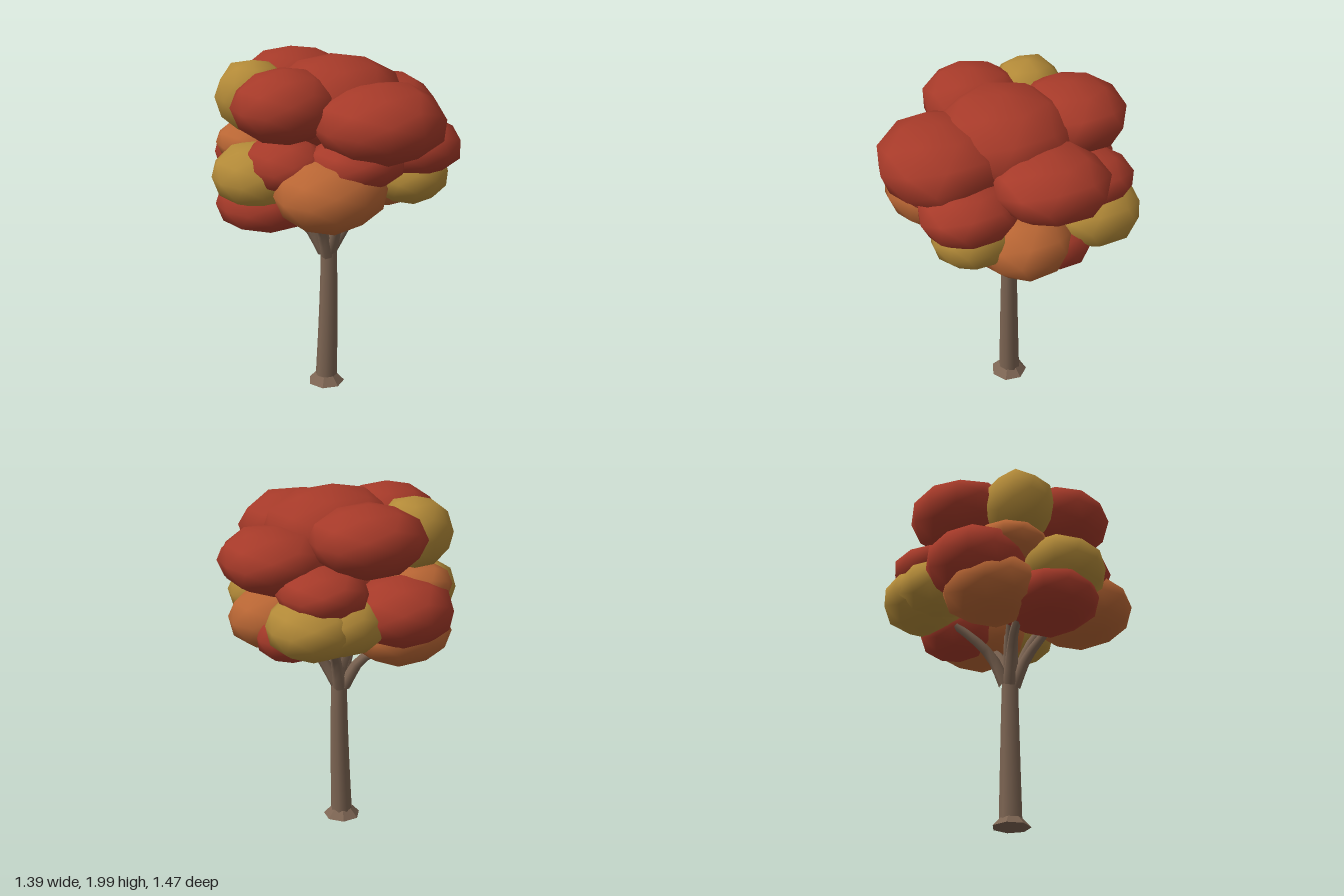
import * as THREE from 'three';
import { mergeVertices } from 'three/addons/utils/BufferGeometryUtils.js';

const mat = (name, color) => {
  const m = new THREE.MeshStandardMaterial({ color });
  m.name = name;
  return m;
};

// Small seeded generator for the lumpy foliage
function seeded(seed) {
  let s = seed;
  return () => (s = (s * 16807) % 2147483647) / 2147483647;
}

// Lumpy low-poly blob, slightly boxier than an ellipsoid, with smooth normals
function leafGeometry(radii, random) {
  const power = 2.15;
  let g = new THREE.IcosahedronGeometry(1, 1);
  g.deleteAttribute('uv');
  g.deleteAttribute('normal');
  g = mergeVertices(g, 1e-3);
  const p = g.attributes.position;
  for (let i = 0; i < p.count; i++) {
    const v = [p.getX(i), p.getY(i), p.getZ(i)];
    const norm = Math.pow(v.reduce((sum, c) => sum + Math.pow(Math.abs(c), power), 0), 1 / power);
    const k = (1 + (random() - 0.4) * 0.06) / norm;
    p.setXYZ(i, ...v.map((c, axis) => c * radii[axis] * k));
  }
  g.computeVertexNormals();
  return g;
}

// Tapered tube along a smooth path
function limbGeometry(points, r0, r1, segments, sides) {
  const curve = new THREE.CatmullRomCurve3(points.map((p) => new THREE.Vector3(...p)));
  const g = new THREE.TubeGeometry(curve, segments, 1, sides, false);
  const p = g.attributes.position;
  const v = new THREE.Vector3();
  for (let i = 0; i < p.count; i++) {
    const t = Math.floor(i / (sides + 1)) / segments;
    const c = curve.getPointAt(t);
    v.fromBufferAttribute(p, i).sub(c).multiplyScalar(r0 + (r1 - r0) * t).add(c);
    p.setXYZ(i, v.x, v.y, v.z);
  }
  return g;
}

export function createModel() {
  const tree = new THREE.Group();
  tree.name = 'autumnTree';
  const red = mat('red leaves', 0xa63a29);
  const orange = mat('orange leaves', 0xb96634);
  const yellow = mat('yellow leaves', 0xb38a38);
  const bark = mat('bark', 0x7d6553);
  const add = (name, geometry, material, parent = tree) => {
    const mesh = new THREE.Mesh(geometry, material);
    mesh.name = name;
    parent.add(mesh);
    return mesh;
  };

  // Flared foot
  const foot = new THREE.CylinderGeometry(0.065, 0.108, 0.046, 7).toNonIndexed();
  foot.computeVertexNormals();
  add('trunkFoot', foot, bark).position.set(-0.03, 0.031, -0.03);

  // Trunk
  add('trunk', limbGeometry(
    [[-0.027, 0.02, -0.032], [-0.018, 0.4, -0.025], [-0.014, 0.8, -0.022], [-0.022, 1.15, -0.022]],
    0.064, 0.04, 10, 8), bark);

  // Branches
  const branches = [
    [[-0.035, 0.83, -0.01], [-0.1, 1.0, 0.02], [-0.19, 1.13, 0.06], [-0.25, 1.24, 0.1]],
    [[0.0, 0.85, -0.02], [0.07, 1.0, 0.03], [0.15, 1.11, 0.06], [0.26, 1.2, 0.09]],
    [[-0.02, 0.86, 0.0], [-0.03, 1.0, 0.06], [-0.06, 1.14, 0.11], [-0.1, 1.26, 0.18]],
    [[0.0, 0.84, -0.05], [0.05, 1.0, -0.1], [0.11, 1.1, -0.17], [0.2, 1.2, -0.25]],
    [[-0.03, 0.84, -0.05], [-0.1, 1.0, -0.11], [-0.19, 1.08, -0.19], [-0.28, 1.13, -0.25]],
    [[-0.02, 0.95, -0.03], [-0.05, 1.08, -0.07], [-0.1, 1.18, -0.12], [-0.13, 1.26, -0.18]],
  ];
  const branchGroup = new THREE.Group();
  branchGroup.name = 'branches';
  tree.add(branchGroup);
  branches.forEach((path, i) =>
    add('branch' + (i + 1), limbGeometry(path, 0.036, 0.022, 6, 6), bark, branchGroup));

  // Leaf clusters: name, colour, centre, radii
  const clusters = [
    ['crown', red, [0.01, 1.74, 0.02], [0.38, 0.255, 0.37]],
    ['upperFront', red, [-0.01, 1.7, 0.39], [0.355, 0.21, 0.335]],
    ['upperRight', red, [-0.355, 1.78, 0.02], [0.28, 0.195, 0.28]],
    ['upperLeft', red, [0.4, 1.65, -0.04], [0.295, 0.18, 0.31]],
    ['upperBack', red, [0.03, 1.78, -0.38], [0.31, 0.19, 0.29]],
    ['upperBackRight', yellow, [-0.315, 1.765, -0.305], [0.205, 0.2, 0.205]],
    ['midFrontLeft', red, [0.26, 1.525, 0.37], [0.25, 0.16, 0.265]],
    ['midFront', red, [-0.13, 1.5, 0.34], [0.26, 0.14, 0.25]],
    ['midRight', red, [-0.38, 1.47, 0.05], [0.21, 0.15, 0.25]],
    ['midBackLeft', red, [0.28, 1.52, -0.34], [0.24, 0.145, 0.25]],
    ['midBackRight', orange, [-0.28, 1.49, -0.34], [0.22, 0.12, 0.23]],
    ['lowFrontLeft', yellow, [0.25, 1.36, 0.35], [0.215, 0.165, 0.22]],
    ['lowFrontRight', orange, [-0.275, 1.35, 0.3], [0.31, 0.2, 0.28]],
    ['lowLeft', orange, [0.315, 1.285, 0.08], [0.28, 0.185, 0.26]],
    ['lowLeftInner', red, [0.32, 1.235, -0.11], [0.22, 0.15, 0.2]],
    ['lowBackLeft', yellow, [0.34, 1.35, -0.345], [0.25, 0.175, 0.265]],
    ['lowBackLeftInner', yellow, [0.2, 1.355, -0.42], [0.22, 0.16, 0.215]],
    ['lowBack', red, [-0.14, 1.385, -0.45], [0.28, 0.19, 0.285]],
    ['lowBackInner', orange, [-0.18, 1.245, -0.37], [0.28, 0.175, 0.27]],
    ['lowRight', yellow, [-0.44, 1.385, -0.1], [0.26, 0.18, 0.255]],
    ['lowRightInner', red, [-0.37, 1.215, -0.12], [0.29, 0.16, 0.27]],
  ];
  const foliage = new THREE.Group();
  foliage.name = 'foliage';
  tree.add(foliage);
  const random = seeded(4711);
  for (const [name, material, centre, radii] of clusters) {
    add(name + 'Leaves', leafGeometry(radii, random), material, foliage).position.set(...centre);
  }
  return tree;
}
